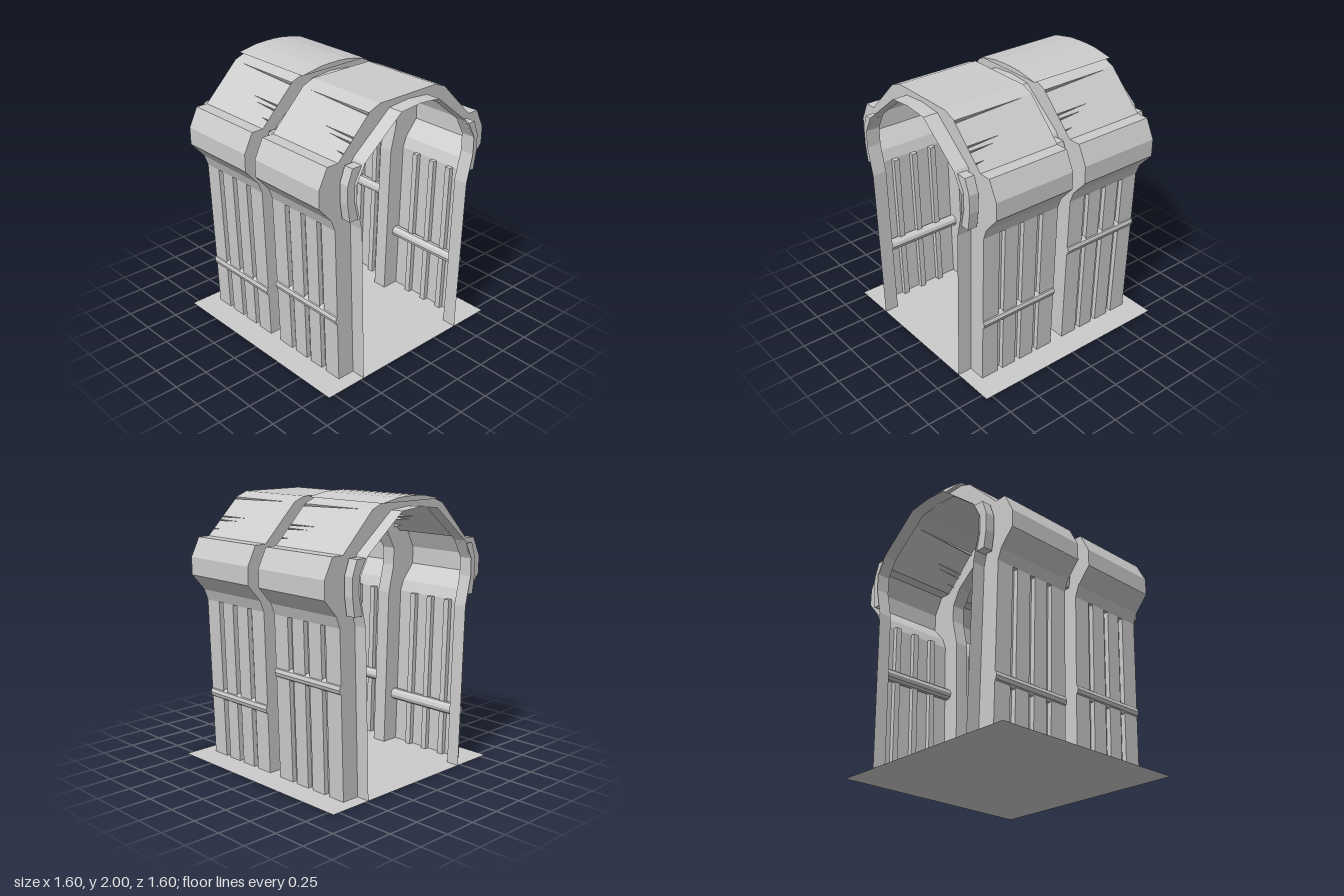
import * as THREE from 'three';

const mat = new THREE.MeshStandardMaterial({ color: 0xcccccc, flatShading: true, side: THREE.DoubleSide });

// Half profiles as [z, y], from the ground up to the crown
const WALL_TOP = [0.645, 1.19];
const OUTER = [[0.61, 0], WALL_TOP, [0.675, 1.27], [0.78, 1.39], [0.78, 1.52], [0.71, 1.66], [0.62, 1.66], [0.35, 1.93], [0.26, 1.965]];
const INNER = [[0.475, 0], [0.51, 1.19], [0.56, 1.4], [0.56, 1.53], [0.49, 1.66], [0.175, 1.915], [0, 1.93]];
const PANEL_WIDTH = 0.64;

function add(parent, name, geometry) {
  const mesh = new THREE.Mesh(geometry, mat);
  mesh.name = name;
  parent.add(mesh);
  return mesh;
}

// Sheet through a list of cross-sections, each a list of [x, y, z]
function loft(sections) {
  const out = [];
  for (let i = 0; i < sections.length - 1; i++) {
    const a = sections[i], b = sections[i + 1];
    for (let j = 0; j < a.length - 1; j++) {
      out.push(...a[j], ...b[j], ...b[j + 1], ...a[j], ...b[j + 1], ...a[j + 1]);
    }
  }
  const g = new THREE.BufferGeometry();
  g.setAttribute('position', new THREE.Float32BufferAttribute(out, 3));
  g.computeVertexNormals();
  return g;
}

const strip = (profile, x0, x1) => loft([x0, x1].map(x => profile.map(([z, y]) => [x, y, z])));
const mirrored = half => [...half, ...half.slice().reverse().map(([z, y]) => [-z, y])];
const shapeOf = pts => new THREE.Shape(pts.map(([a, b]) => new THREE.Vector2(a, b)));

// Solid from a [z, y] outline, running from x0 to x1
function bar(outline, x0, x1) {
  const g = new THREE.ExtrudeGeometry(shapeOf(outline), { depth: x1 - x0, bevelEnabled: false });
  g.rotateY(-Math.PI / 2);
  return g.translate(x1, 0, 0);
}

// Lower wall with three recessed upright grooves
function grooveWall(x0) {
  const sections = [];
  const section = (x, inset) => sections.push([
    [x, 0, OUTER[0][0] - inset], [x, WALL_TOP[1], WALL_TOP[0] - inset], [x, WALL_TOP[1], WALL_TOP[0]],
  ]);
  section(x0, 0);
  for (const g of [0.135, 0.3, 0.46]) {
    section(x0 + g, 0);
    section(x0 + g, 0.035);
    section(x0 + g + 0.045, 0.035);
    section(x0 + g + 0.045, 0);
  }
  section(x0 + PANEL_WIDTH, 0);
  return loft(sections);
}

// Sloped roof sheet with tapered scores; u runs along x, t down the slope
function slopedRoof(parent, x0) {
  const s = Math.SQRT1_2;
  const place = (u, t, d = 0) => [x0 + u, 1.93 - (t + d) * s, 0.35 + (t - d) * s];
  const length = 0.27 / s, end = PANEL_WIDTH - 0.003;
  const sheet = shapeOf([[0, 0], [PANEL_WIDTH, 0], [PANEL_WIDTH, length], [0, length]]);
  const scores = [[0.08, 0.006, 0.02], [0.37, 0.19, 0.012], [0.44, 0.225, 0.012], [0.57, 0.31, 0.008]];
  for (const [u, t, w] of scores) {
    sheet.holes.push(new THREE.Path([[u, t], [end, t], [end, t + w]].map(p => new THREE.Vector2(...p))));
    const tip = place(u, t);
    add(parent, 'roofScore', loft([
      [tip, tip, tip],
      [place(end, t), place(end, t + w / 2, 0.025), place(end, t + w)],
    ]));
  }
  const g = new THREE.ShapeGeometry(sheet), p = g.attributes.position;
  for (let i = 0; i < p.count; i++) p.setXYZ(i, ...place(p.getX(i), p.getY(i)));
  g.computeVertexNormals();
  add(parent, 'slopedRoof', g);
}

// One side of a bay: wall, bulging shoulder, roof slope and rail
function baySide(parent, x0, side, railY) {
  const half = new THREE.Group();
  half.name = side > 0 ? 'frontSide' : 'backSide';
  half.scale.z = side;
  parent.add(half);
  const x1 = x0 + PANEL_WIDTH;
  add(half, 'grooveWall', grooveWall(x0));
  add(half, 'shoulder', strip(OUTER.slice(1, 7), x0, x1));
  slopedRoof(half, x0);
  add(half, 'roofEdge', strip(OUTER.slice(7), x0, x1));
  const wallZ = 0.61 + 0.035 * railY / 1.19;
  const rail = new THREE.CylinderGeometry(0.044, 0.044, PANEL_WIDTH, 10).rotateZ(Math.PI / 2);
  add(half, 'rail', rail.translate(x0 + PANEL_WIDTH / 2, railY, wallZ - 0.028));
}

export function createModel() {
  const model = new THREE.Group();
  model.name = 'corridor';

  add(model, 'floor', new THREE.PlaneGeometry(1.6, 1.6).rotateX(-Math.PI / 2));

  // Two raised bays, each closed at both ends by an arch-shaped face
  const capOutline = [...mirrored(OUTER), ...mirrored(INNER.slice(0, -1)).reverse()];
  for (const [name, x0, frontRail, backRail] of [['rightBay', -0.7, 0.373, 0.78], ['leftBay', 0.05, 0.49, 0.48]]) {
    const bay = new THREE.Group();
    bay.name = name;
    model.add(bay);
    baySide(bay, x0, 1, frontRail);
    baySide(bay, x0, -1, backRail);
    add(bay, 'crown', strip([[0.26, 1.965], [-0.26, 1.965]], x0, x0 + PANEL_WIDTH));
    for (const x of [x0, x0 + PANEL_WIDTH]) {
      const cap = new THREE.ShapeGeometry(shapeOf(capOutline)).rotateY(-Math.PI / 2);
      add(bay, 'endFace', cap.translate(x, 0, 0));
    }
  }

  // Recessed arches between and beside the bays, with a bracket on each flank
  const bracket = [[0.53, 1.27], [0.6, 1.27], [0.62, 1.4], [0.62, 1.53], [0.58, 1.64], [0.5, 1.64], [0.56, 1.53], [0.56, 1.4]];
  for (const [x0, x1, b0] of [[-0.8, -0.7, -0.787], [-0.06, 0.05, -0.04], [0.69, 0.8, 0.708]]) {
    add(model, 'recessedArch', strip(mirrored(INNER), x0, x1));
    for (const side of [1, -1]) {
      add(model, 'bracket', bar(bracket, b0, b0 + 0.072)).scale.z = side;
    }
  }

  // Raised cover plate over the right bay
  add(model, 'coverPlate', bar(mirrored([[0.29, 1.965], [0.13, 1.995], [0.04, 2]]), -0.73, -0.027));

  return model;
}
